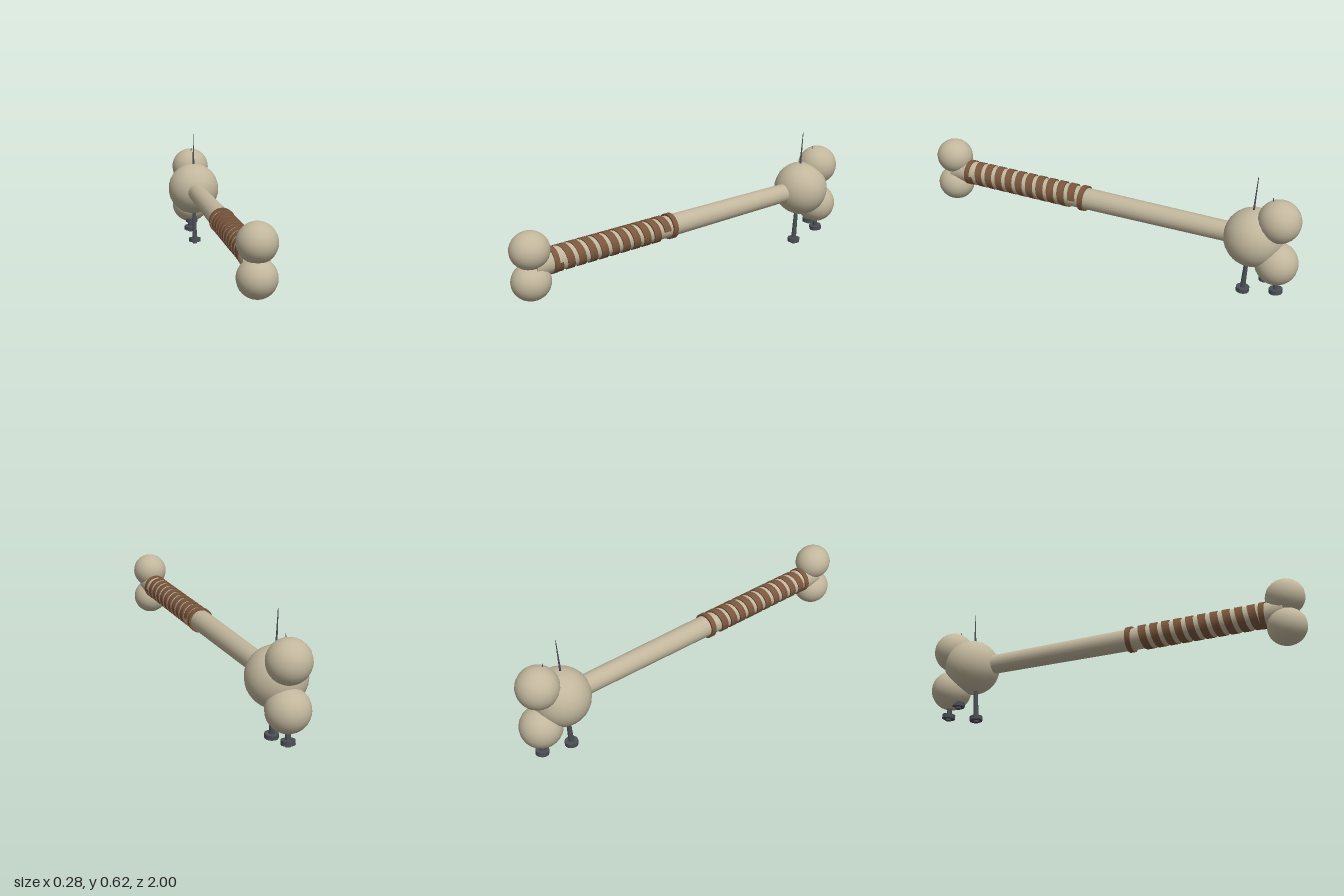
import * as THREE from 'three';
import { toCreasedNormals } from 'three/addons/utils/BufferGeometryUtils.js';

const AXIS_Y = 0.31; // height of the shaft axis

// flat strip wound around the z axis, from a rectangular section swept along a helix
function helixBand(inner, outer, width, z0, z1, pitch, steps = 20) {
  const n = Math.round((z1 - z0) / pitch * steps);
  const section = [[outer, -width / 2], [outer, width / 2], [inner, width / 2], [inner, -width / 2]];
  const pos = [], idx = [];
  for (let i = 0; i <= n; i++) {
    const a = i / steps * Math.PI * 2, z = z0 + (z1 - z0) * i / n;
    for (const [r, dz] of section) pos.push(r * Math.cos(a), r * Math.sin(a), z + dz);
  }
  for (let i = 0; i < n; i++) for (let j = 0; j < 4; j++) {
    const a = i * 4 + j, b = i * 4 + (j + 1) % 4;
    idx.push(a, a + 4, b, b, a + 4, b + 4);
  }
  const e = n * 4;
  idx.push(0, 1, 2, 0, 2, 3, e, e + 2, e + 1, e, e + 3, e + 2);
  const g = new THREE.BufferGeometry();
  g.setAttribute('position', new THREE.Float32BufferAttribute(pos, 3));
  g.setIndex(idx);
  return toCreasedNormals(g, 0.6);
}

export function createModel() {
  const model = new THREE.Group();
  model.name = 'boneClub';
  const material = (name, color) => {
    const m = new THREE.MeshStandardMaterial({ color });
    m.name = name;
    return m;
  };
  const bone = material('bone', 0xc2b79d);
  const leather = material('leather', 0x7b573e);
  const iron = material('iron', 0x4b5056);

  const add = (name, geo, mat, y, z, parent = model) => {
    const mesh = new THREE.Mesh(geo, mat);
    mesh.name = name;
    mesh.position.set(0, y, z);
    parent.add(mesh);
    return mesh;
  };

  // shaft, slightly thicker towards the grip
  const shaft = new THREE.CylinderGeometry(0.06, 0.049, 1.62, 20).rotateX(Math.PI / 2);
  add('shaft', shaft, bone, AXIS_Y, 0.09);

  // knuckles: [name, radius, y, z, z stretch]
  for (const [name, r, y, z, stretch] of [
    ['clubHead', 0.142, 0.312, -0.777, 1],
    ['headKnuckleUpper', 0.103, 0.421, -0.896, 1],
    ['headKnuckleLower', 0.103, 0.201, -0.897, 1],
    ['pommelKnuckleUpper', 0.09, 0.385, 0.904, 1.06],
    ['pommelKnuckleLower', 0.09, 0.232, 0.904, 1.06],
  ]) add(name, new THREE.SphereGeometry(r, 24, 16), bone, y, z).scale.z = stretch;

  // leather grip: wound strip and end rings
  add('gripWrap', helixBand(0.05, 0.063, 0.038, 0.17, 0.785, 0.0615), leather, AXIS_Y, 0);
  for (const z of [0.122, 0.798]) {
    const ring = new THREE.CylinderGeometry(0.065, 0.065, 0.026, 20).rotateX(Math.PI / 2);
    add('gripRing', ring, leather, AXIS_Y, z);
  }

  // nails driven up through the head: [head y, head z, tip y, tip z]
  for (const [y, z, tipY, tipZ] of [
    [0.0, -0.738, 0.622, -0.781],
    [0.035, -0.906, 0.532, -0.858],
    [0.092, -0.85, 0.42, -0.845],
  ]) {
    const nail = new THREE.Group();
    nail.name = 'nail';
    const length = Math.hypot(tipY - y, tipZ - z);
    nail.position.set(0, y, z);
    nail.rotation.x = Math.atan2(tipZ - z, tipY - y);
    const spike = new THREE.CylinderGeometry(0.0015, 0.014, length, 10);
    add('nailSpike', spike, iron, length / 2, 0, nail);
    const cap = toCreasedNormals(new THREE.CylinderGeometry(0.033, 0.033, 0.022, 12), 0.6);
    add('nailHead', cap, iron, 0.021, 0, nail);
    model.add(nail);
  }
  return model;
}
